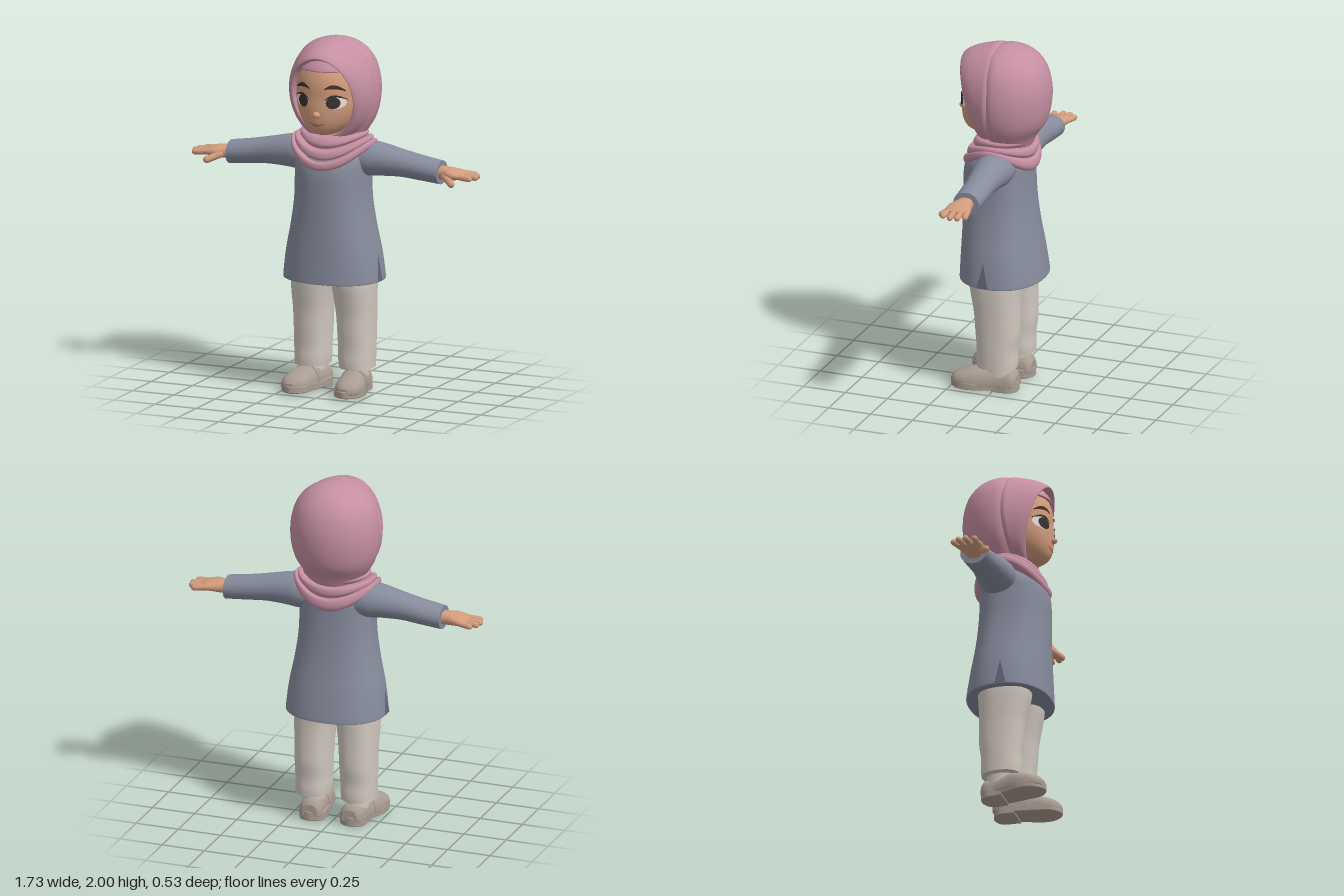
import * as THREE from 'three';

const mat = (name, color, thin) => {
  const m = new THREE.MeshStandardMaterial({ color });
  m.name = name;
  if (thin) m.side = THREE.DoubleSide;
  return m;
};

// Catmull-Rom resampling of cross-section rows
function smooth(rows, sub = 4) {
  const out = [], at = i => rows[Math.min(Math.max(i, 0), rows.length - 1)];
  for (let i = 0; i < rows.length - 1; i++) {
    for (let k = 0; k < sub; k++) {
      const t = k / sub;
      out.push(rows[i].map((p, j) => {
        const m0 = (at(i + 1)[j] - at(i - 1)[j]) / 2, q = rows[i + 1][j], m1 = (at(i + 2)[j] - p) / 2;
        return p * (2 * t ** 3 - 3 * t * t + 1) + m0 * (t ** 3 - 2 * t * t + t)
          + q * (3 * t * t - 2 * t ** 3) + m1 * (t ** 3 - t * t);
      }));
    }
  }
  out.push(rows[rows.length - 1]);
  return out;
}

// Skin a list of point loops: a ring surface, or a body with flat caps; faces always turn outward
function skin(loops, ring = false) {
  const n = loops[0].length, pos = [], idx = [];
  loops.forEach(l => l.forEach(p => pos.push(...p)));
  const last = ring ? loops.length : loops.length - 1;
  for (let i = 0; i < last; i++) {
    const a = i * n, b = ((i + 1) % loops.length) * n;
    for (let j = 0; j < n; j++) {
      const k = (j + 1) % n;
      idx.push(a + j, b + j, b + k, a + j, b + k, a + k);
    }
  }
  if (!ring) [loops[0], loops[loops.length - 1]].forEach((l, e) => {
    const base = pos.length / 3;
    l.forEach(p => pos.push(...p));
    pos.push(...[0, 1, 2].map(d => l.reduce((s, p) => s + p[d], 0) / n));
    for (let j = 0; j < n; j++) {
      const k = (j + 1) % n;
      idx.push(base + n, ...(e ? [base + k, base + j] : [base + j, base + k]));
    }
  });
  const v = i => new THREE.Vector3(pos[3 * i], pos[3 * i + 1], pos[3 * i + 2]);
  let vol = 0;
  for (let i = 0; i < idx.length; i += 3) vol += v(idx[i]).dot(v(idx[i + 1]).cross(v(idx[i + 2])));
  if (vol < 0) idx.reverse();
  const g = new THREE.BufferGeometry();
  g.setAttribute('position', new THREE.Float32BufferAttribute(pos, 3));
  g.setIndex(idx);
  g.computeVertexNormals();
  return g;
}

const around = (n, f) => Array.from({ length: n }, (_, i) => f(Math.cos(i / n * 2 * Math.PI), Math.sin(i / n * 2 * Math.PI)));

// Rows [t, a, b, ra, rb, rbBack?] are superellipses along an axis; side = -1 mirrors in x
function loft(rows, axis = 'y', side = 1, power = 2, seg = 48) {
  const pw = c => Math.sign(c) * Math.abs(c) ** (2 / power);
  return skin(smooth(rows).map(([t, a, b, ra, rb, rback = rb]) => around(seg, (c, s) => {
    const u = a + ra * pw(c), w = b + (s > 0 ? rb : rback) * pw(s);
    const p = axis === 'y' ? [u, t, w] : axis === 'x' ? [t, u, w] : [u, w, t];
    return [p[0] * side, p[1], p[2]];
  })));
}

// Face profile: height, centre, half width, depth
const FACE = smooth([
  [1.472, 0, 0.05, 0.03, 0.09], [1.485, 0, 0.05, 0.075, 0.145], [1.51, 0, 0.05, 0.115, 0.172],
  [1.55, 0, 0.05, 0.15, 0.187], [1.6, 0, 0.05, 0.174, 0.193], [1.65, 0, 0.05, 0.186, 0.193],
  [1.7, 0, 0.05, 0.19, 0.19], [1.76, 0, 0.05, 0.19, 0.19], [1.82, 0, 0.05, 0.175, 0.178],
  [1.88, 0, 0.05, 0.14, 0.15], [1.93, 0, 0.05, 0.08, 0.1]]);

function faceZ(x, y) {
  let i = 0;
  while (i < FACE.length - 2 && FACE[i + 1][0] < y) i++;
  const t = (y - FACE[i][0]) / (FACE[i + 1][0] - FACE[i][0]);
  const r = FACE[i].map((p, j) => p + (FACE[i + 1][j] - p) * t);
  return r[2] + r[4] * Math.sqrt(Math.max(0, 1 - (x / r[3]) ** 2));
}

// Lay a flat geometry on the face
function onFace(g, map, lift) {
  const p = g.attributes.position;
  for (let i = 0; i < p.count; i++) {
    const [x, y] = map(p.getX(i), p.getY(i));
    p.setXYZ(i, x, y, faceZ(x, y) + lift);
  }
  g.computeVertexNormals();
  return g;
}
const disc = (cx, cy, rx, ry, lift) =>
  onFace(new THREE.RingGeometry(0.001, 1, 32, 5), (x, y) => [cx + rx * x, cy + ry * y], lift);
// Tapered stroke through three points
const stroke = (s, a, m, b, half, lift) => onFace(new THREE.PlaneGeometry(1, 1, 16, 2), (u, w) => {
  const t = u + 0.5, q = d => a[d] * (1 - t) * (1 - 2 * t) + m[d] * 4 * t * (1 - t) + b[d] * t * (2 * t - 1);
  return [s * q(0), q(1) + w * 2 * half * (0.25 + 0.75 * Math.sin(Math.PI * t))];
}, lift);

export function createModel() {
  const model = new THREE.Group();
  const scarf = mat('pink scarf', 0xc58fa2), cloth = mat('slate tunic', 0x878c9d);
  const slitCloth = mat('dark slate', 0x646979, true), trousers = mat('cream trousers', 0xd2c9bf);
  const leather = mat('taupe shoes', 0xaa9d93), skinTone = mat('skin', 0xd39c7d);
  const white = mat('eye white', 0xe9e5e1, true), dark = mat('eye dark', 0x3a322f, true);
  const brown = mat('brow brown', 0x452c24, true), lip = mat('lip', 0xa9654f, true);
  const add = (name, g, m) => {
    const mesh = new THREE.Mesh(g, m);
    mesh.name = name;
    model.add(mesh);
    return mesh;
  };

  // Head and nose
  add('face', skin(FACE.map(([y, , cz, rx, rz]) => around(64, (c, s) => [rx * c, y, cz + rz * s]))), skinTone);
  const nose = add('nose', new THREE.SphereGeometry(1, 20, 14), skinTone);
  nose.position.set(0, 1.605, 0.243);
  nose.scale.set(0.022, 0.019, 0.026);
  add('mouth', stroke(1, [-0.05, 1.56], [0, 1.545], [0.05, 1.56], 0.005, 0.003), lip);

  // Hood: under band, rounded back, front wrap with the face opening
  add('underScarf', loft([
    [1.845, 0, 0.05, 0.172, 0.178], [1.852, 0, 0.05, 0.172, 0.182], [1.88, 0, 0.05, 0.153, 0.168],
    [1.915, 0, 0.05, 0.12, 0.14], [1.94, 0, 0.05, 0.08, 0.1]]), scarf);
  add('hoodBack', loft([
    [1.4, 0, -0.02, 0.12, 0.08, 0.13], [1.48, 0, -0.02, 0.182, 0.1, 0.163], [1.55, 0, -0.02, 0.224, 0.115, 0.212],
    [1.62, 0, -0.02, 0.246, 0.12, 0.235], [1.7, 0, -0.02, 0.255, 0.12, 0.245], [1.78, 0, -0.02, 0.25, 0.12, 0.242],
    [1.86, 0, -0.02, 0.228, 0.12, 0.222], [1.92, 0, -0.02, 0.19, 0.11, 0.186], [1.965, 0, -0.02, 0.135, 0.1, 0.135],
    [1.99, 0, -0.02, 0.07, 0.06, 0.072], [2.0, 0, -0.02, 0.006, 0.006, 0.006]]), scarf);
  // Rows: half width, half height, centre height, z at top, side and bottom
  const wrap = smooth([
    [0.172, 0.21, 1.685, 0.17, 0.1, 0.08], [0.18, 0.222, 1.69, 0.225, 0.155, 0.11],
    [0.192, 0.235, 1.692, 0.235, 0.16, 0.115], [0.222, 0.262, 1.7, 0.18, 0.12, 0.11],
    [0.245, 0.282, 1.711, 0.08, 0.06, 0.085], [0.252, 0.286, 1.712, 0.035, 0.03, 0.06],
    [0.235, 0.268, 1.71, 0.01, 0, 0.04]]);
  add('hoodWrap', skin(wrap.map(([rx, ry, yc, zt, zs, zb]) => around(64, (c, s) =>
    [rx * c, yc + ry * s, zs + (zt - zb) / 2 * s + ((zt + zb) / 2 - zs) * s * s])), true), scarf);

  // Draped neck folds: half width, front z, back z, then height at side, front and back
  const folds = smooth([
    [0.13, 0.1, -0.11, 1.47, 1.47, 1.5], [0.185, 0.15, -0.16, 1.48, 1.455, 1.49],
    [0.192, 0.172, -0.17, 1.46, 1.42, 1.46], [0.175, 0.163, -0.153, 1.447, 1.395, 1.43],
    [0.215, 0.196, -0.18, 1.457, 1.385, 1.42], [0.222, 0.206, -0.185, 1.437, 1.35, 1.385],
    [0.204, 0.192, -0.172, 1.427, 1.333, 1.362], [0.238, 0.222, -0.19, 1.443, 1.325, 1.35],
    [0.245, 0.226, -0.195, 1.415, 1.295, 1.31], [0.225, 0.207, -0.175, 1.395, 1.275, 1.285],
    [0.19, 0.17, -0.14, 1.395, 1.29, 1.31]]);
  add('neckScarf', skin(folds.map(([rx, zf, zb, ys, yf, yb]) => around(64, (c, s) =>
    [rx * c, ys + ((s > 0 ? yf : yb) - ys) * s * s, s > 0 ? zf * s : -zb * s]))), scarf);

  // Tunic
  add('tunic', loft([
    [0.64, 0, 0, 0.283, 0.234, 0.234], [0.66, 0, 0, 0.285, 0.235, 0.235], [0.8, 0, 0, 0.268, 0.23, 0.213],
    [0.95, 0, 0, 0.238, 0.226, 0.187], [1.1, 0, 0, 0.216, 0.225, 0.17], [1.25, 0, 0, 0.211, 0.224, 0.162],
    [1.33, 0, 0, 0.208, 0.203, 0.16], [1.4, 0, 0, 0.17, 0.15, 0.14], [1.45, 0, 0, 0.1, 0.1, 0.1]], 'y', 1, 2.25, 64), cloth);

  for (const s of [1, -1]) {
    const side = s > 0 ? 'left' : 'right';

    // Eye, lashes and brow
    add(side + 'EyeWhite', disc(s * 0.101, 1.678, 0.05, 0.036, 0.003), white);
    add(side + 'Iris', disc(s * 0.09, 1.677, 0.036, 0.034, 0.005), dark);
    add(side + 'Lashes', stroke(s, [0.047, 1.69], [0.097, 1.716], [0.157, 1.693], 0.006, 0.007), dark);
    add(side + 'Brow', stroke(s, [0.045, 1.752], [0.095, 1.767], [0.148, 1.744], 0.011, 0.005), brown);

    // Side slit of the tunic
    const slit = new THREE.BufferGeometry();
    slit.setAttribute('position', new THREE.Float32BufferAttribute(
      [s * 0.287, 0.642, 0.055, s * 0.287, 0.642, -0.01, s * 0.274, 0.79, 0.02], 3));
    slit.computeVertexNormals();
    add(side + 'Slit', slit, slitCloth);

    // Sleeve
    add(side + 'Sleeve', loft([
      [0.1, 1.325, -0.02, 0.08, 0.1], [0.2, 1.328, -0.02, 0.098, 0.11], [0.28, 1.328, -0.02, 0.092, 0.1],
      [0.4, 1.317, -0.022, 0.077, 0.085], [0.52, 1.3, -0.025, 0.07, 0.08], [0.64, 1.285, -0.025, 0.066, 0.077]], 'x', s), cloth);

    // Hand: palm, four fingers, thumb
    add(side + 'Palm', loft([
      [0.6, 1.285, -0.025, 0.038, 0.045], [0.66, 1.285, -0.02, 0.038, 0.05], [0.71, 1.285, -0.015, 0.034, 0.068],
      [0.76, 1.283, -0.022, 0.024, 0.074], [0.79, 1.28, -0.022, 0.014, 0.064]], 'x', s, 2.2, 28), skinTone);
    const digit = (name, a, b, r) => {
      const A = new THREE.Vector3(s * a[0], a[1], a[2]), B = new THREE.Vector3(s * b[0], b[1], b[2]);
      const d = B.clone().sub(A), m = add(side + name, new THREE.CapsuleGeometry(r, d.length(), 5, 12), skinTone);
      m.position.copy(A).add(B).multiplyScalar(0.5);
      m.quaternion.setFromUnitVectors(new THREE.Vector3(0, 1, 0), d.normalize());
    };
    [[-0.075, -0.088, 0.815], [-0.042, -0.052, 0.842], [-0.006, -0.011, 0.848], [0.028, 0.036, 0.832]]
      .forEach(([z0, z1, x], i) => digit('Finger' + (i + 1), [0.74, 1.284, z0], [x, 1.277, z1], 0.017));
    digit('Thumb', [0.68, 1.275, 0.025], [0.742, 1.248, 0.076], 0.02);

    // Trouser leg and ankle
    add(side + 'TrouserLeg', loft([
      [0.14, 0.135, -0.01, 0.095, 0.113], [0.18, 0.133, -0.01, 0.098, 0.116], [0.25, 0.133, -0.01, 0.1, 0.115],
      [0.34, 0.132, -0.012, 0.102, 0.125], [0.45, 0.13, -0.008, 0.106, 0.13], [0.55, 0.127, 0, 0.113, 0.14],
      [0.64, 0.122, 0.005, 0.119, 0.15], [0.75, 0.115, 0.005, 0.115, 0.15]], 'y', s, 2.3), trousers);
    add(side + 'Ankle', loft([[0.08, 0.13, -0.015, 0.06, 0.085], [0.16, 0.13, -0.015, 0.06, 0.085]], 'y', s, 2, 28), trousers);

    // Shoe upper with a flat base, and its strap
    const upper = loft([
      [-0.125, 0.118, 0.045, 0.045, 0.05], [-0.1, 0.12, 0.045, 0.066, 0.078], [-0.03, 0.125, 0.045, 0.07, 0.085],
      [0.04, 0.138, 0.045, 0.077, 0.092], [0.1, 0.152, 0.045, 0.083, 0.087], [0.17, 0.161, 0.045, 0.08, 0.068],
      [0.22, 0.164, 0.045, 0.06, 0.046], [0.245, 0.165, 0.045, 0.025, 0.02]], 'z', s, 2.3, 40);
    const strap = loft([[0.03, 0.136, 0.045, 0.079, 0.096], [0.07, 0.145, 0.045, 0.084, 0.095]], 'z', s, 2.3, 40);
    for (const g of [upper, strap]) {
      const p = g.attributes.position;
      for (let i = 0; i < p.count; i++) p.setY(i, Math.max(p.getY(i), 0.03));
      g.computeVertexNormals();
    }
    add(side + 'Shoe', upper, leather);
    add(side + 'ShoeStrap', strap, leather);

    // Sole and heel block cut from one outline
    const outline = new THREE.CatmullRomCurve3([
      [0.12, -0.125], [0.178, -0.1], [0.192, 0], [0.236, 0.12], [0.226, 0.2], [0.165, 0.248],
      [0.1, 0.212], [0.076, 0.12], [0.056, 0], [0.056, -0.09]].map(([x, z]) => new THREE.Vector3(s * x, z, 0)), true)
      .getPoints(60).slice(0, 60).map(p => new THREE.Vector2(p.x, p.y));
    const slab = (pts, low, high) => new THREE.ExtrudeGeometry(new THREE.Shape(pts), {
      depth: high - low - 0.01, bevelThickness: 0.005, bevelSize: 0.005, bevelSegments: 2 })
      .rotateX(Math.PI / 2).translate(0, high - 0.005, 0);
    add(side + 'Sole', slab(outline, 0.01, 0.05), leather);
    add(side + 'Heel', slab(outline.filter(p => p.y < 0.005), 0, 0.054), leather);
  }
  return model;
}
